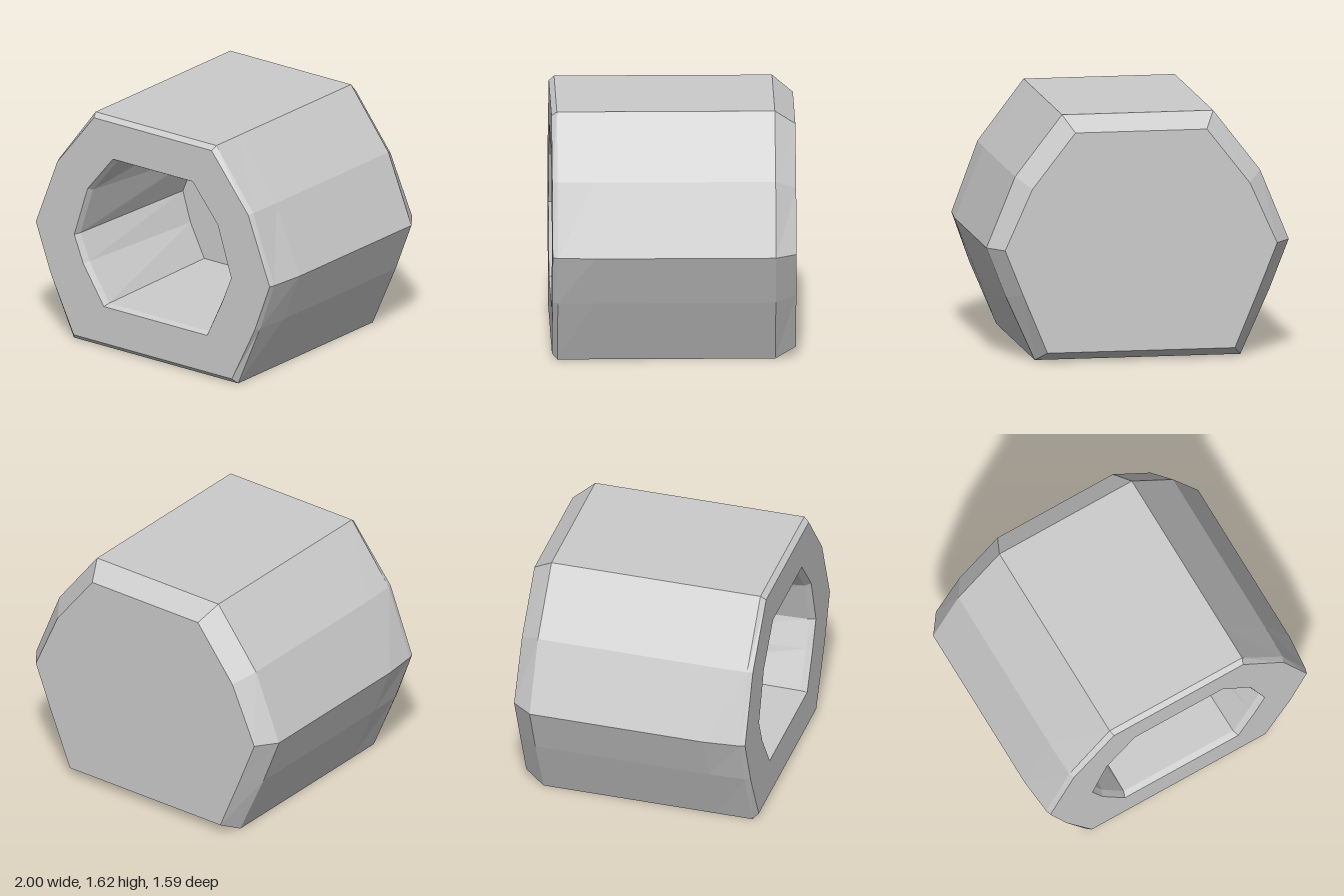
import * as THREE from 'three';

const material = new THREE.MeshStandardMaterial({ color: 0xcccccc, flatShading: true });

// Closed ring from its right half (bottom to top); leftBottom scales the lower left corner.
function ring(z, half, leftBottom = 1) {
  const right = half.map(([x, y]) => new THREE.Vector3(x, y, z));
  const left = half.map(([x, y], i) => new THREE.Vector3(-x * (i === 0 ? leftBottom : 1), y, z)).reverse();
  return [...right, ...left];
}

// Skin a series of rings, optionally closing the first and last one.
function loft(name, rings, capStart, capEnd) {
  const n = rings[0].length;
  const positions = rings.flat().flatMap((p) => p.toArray());
  const index = [];
  for (let r = 0; r < rings.length - 1; r++) {
    for (let j = 0; j < n; j++) {
      const a = r * n + j, b = r * n + (j + 1) % n;
      index.push(a, b, a + n, b, b + n, a + n);
    }
  }
  const last = (rings.length - 1) * n;
  for (let j = 1; j < n - 1; j++) {
    if (capStart) index.push(0, j + 1, j);
    if (capEnd) index.push(last, last + j, last + j + 1);
  }
  const geometry = new THREE.BufferGeometry();
  geometry.setAttribute('position', new THREE.Float32BufferAttribute(positions, 3));
  geometry.setIndex(index);
  const flat = geometry.toNonIndexed();
  flat.computeVertexNormals();
  const mesh = new THREE.Mesh(flat, material);
  mesh.name = name;
  return mesh;
}

export function createModel() {
  const group = new THREE.Group();
  group.name = 'facetedSocket';

  const full = [[0.68, 0], [0.87, 0.42], [1, 0.75], [0.81, 1.215], [0.5, 1.615]];
  const back = ring(-0.795, [[0.62, 0.065], [0.78, 0.45], [0.9, 0.75], [0.72, 1.15], [0.435, 1.515]]);
  const lip = ring(0.76, [[0.68, 0], [0.86, 0.42], [0.978, 0.75], [0.805, 1.215], [0.5, 1.615]]);
  const face = ring(0.795, [[0.655, 0.035], [0.845, 0.42], [0.968, 0.75], [0.79, 1.21], [0.487, 1.587]]);
  const rim = ring(0.795, [[0.45, 0.29], [0.575, 0.55], [0.65, 0.735], [0.54, 1.08], [0.33, 1.335]], 0.9);
  const throat = ring(0.755, [[0.435, 0.305], [0.555, 0.56], [0.63, 0.74], [0.525, 1.065], [0.32, 1.315]], 0.9);
  const pit = ring(-0.23, [[0.42, 0.325], [0.492, 0.55], [0.555, 0.755], [0.435, 1.03], [0.31, 1.3]], 0.9);

  // Solid body with a wide back chamfer and a narrow front chamfer
  group.add(loft('outerBody', [back, ring(-0.66, full), ring(0.52, full), lip, face], true, false));
  // Front annulus around the opening
  group.add(loft('frontFace', [face, rim], false, false));
  // Bevelled, slightly tapering blind hole
  group.add(loft('hollow', [rim, throat, pit], false, true));

  return group;
}
